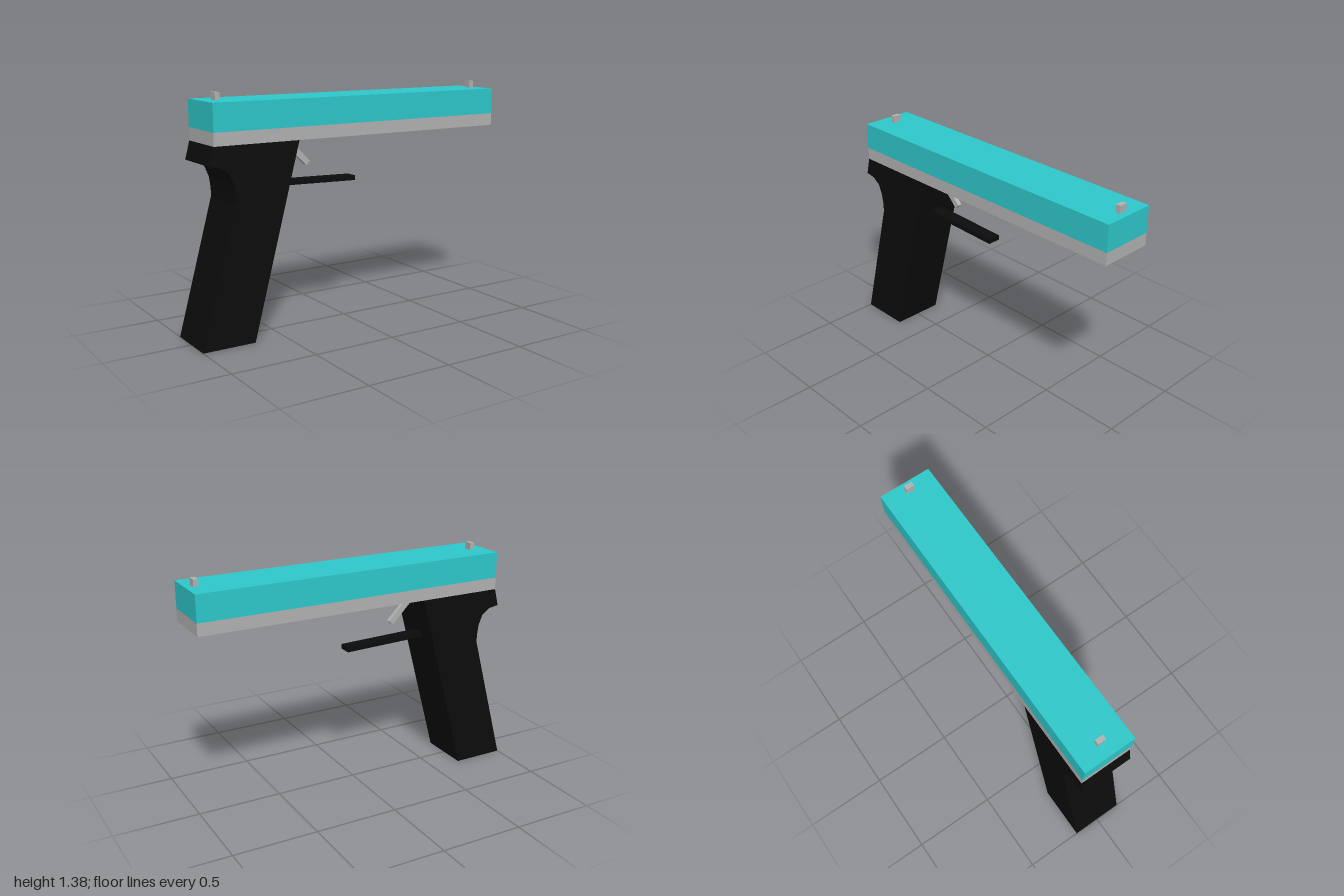
import * as THREE from 'three';

const material = (name, color) => {
  const m = new THREE.MeshStandardMaterial({ color });
  m.name = name;
  return m;
};

export function createModel() {
  const model = new THREE.Group();
  const teal = material('teal', 0x2ec8cb);
  const grey = material('grey', 0xb2b2b2);
  const black = material('black', 0x0c0c0c);
  const depth = 0.316;

  const add = (name, geometry, mat) => {
    const mesh = new THREE.Mesh(geometry, mat);
    mesh.name = name;
    model.add(mesh);
    return mesh;
  };

  // Box given by its x and y extents, centred on z = 0
  const block = (name, x0, x1, y0, y1, width, mat) => {
    const mesh = add(name, new THREE.BoxGeometry(x1 - x0, y1 - y0, width), mat);
    mesh.position.set((x0 + x1) / 2, (y0 + y1) / 2, 0);
    return mesh;
  };

  // Slanted bar running between two points in the side plane
  const bar = (name, x0, y0, x1, y1, thickness, width, mat) => {
    const dx = x1 - x0, dy = y1 - y0;
    const mesh = add(name, new THREE.BoxGeometry(Math.hypot(dx, dy), thickness, width), mat);
    mesh.position.set((x0 + x1) / 2, (y0 + y1) / 2, 0);
    mesh.rotation.z = Math.atan2(dy, dx);
  };

  // Two-tone upper body
  block('upperSlide', -0.905, 1, 1.183, 1.338, depth, teal);
  block('lowerRail', -0.905, 1, 1.11, 1.183, depth, grey);

  // Sights
  block('rearSight', -0.83, -0.802, 1.338, 1.38, 0.05, grey);
  block('frontSight', 0.932, 0.96, 1.338, 1.38, 0.05, grey);

  // Raked grip with a hollow below the rear overhang
  const profile = [
    [-1, 0], [-0.685, 0], [-0.392, 1.11], [-0.905, 1.11], [-0.932, 1.006],
    [-0.87, 0.995], [-0.82, 0.961], [-0.795, 0.9], [-0.786, 0.84], [-0.785, 0.79],
  ].map(([x, y]) => new THREE.Vector2(x, y));
  const grip = new THREE.ExtrudeGeometry(new THREE.Shape(profile), { depth, bevelEnabled: false });
  grip.translate(0, 0, -depth / 2);
  add('grip', grip, black);

  // Trigger and the bar below it
  bar('trigger', -0.41, 1.11, -0.253, 0.953, 0.035, 0.026, grey);
  bar('triggerGuard', -0.5, 0.858, 0.053, 0.843, 0.028, 0.08, black);

  return model;
}
